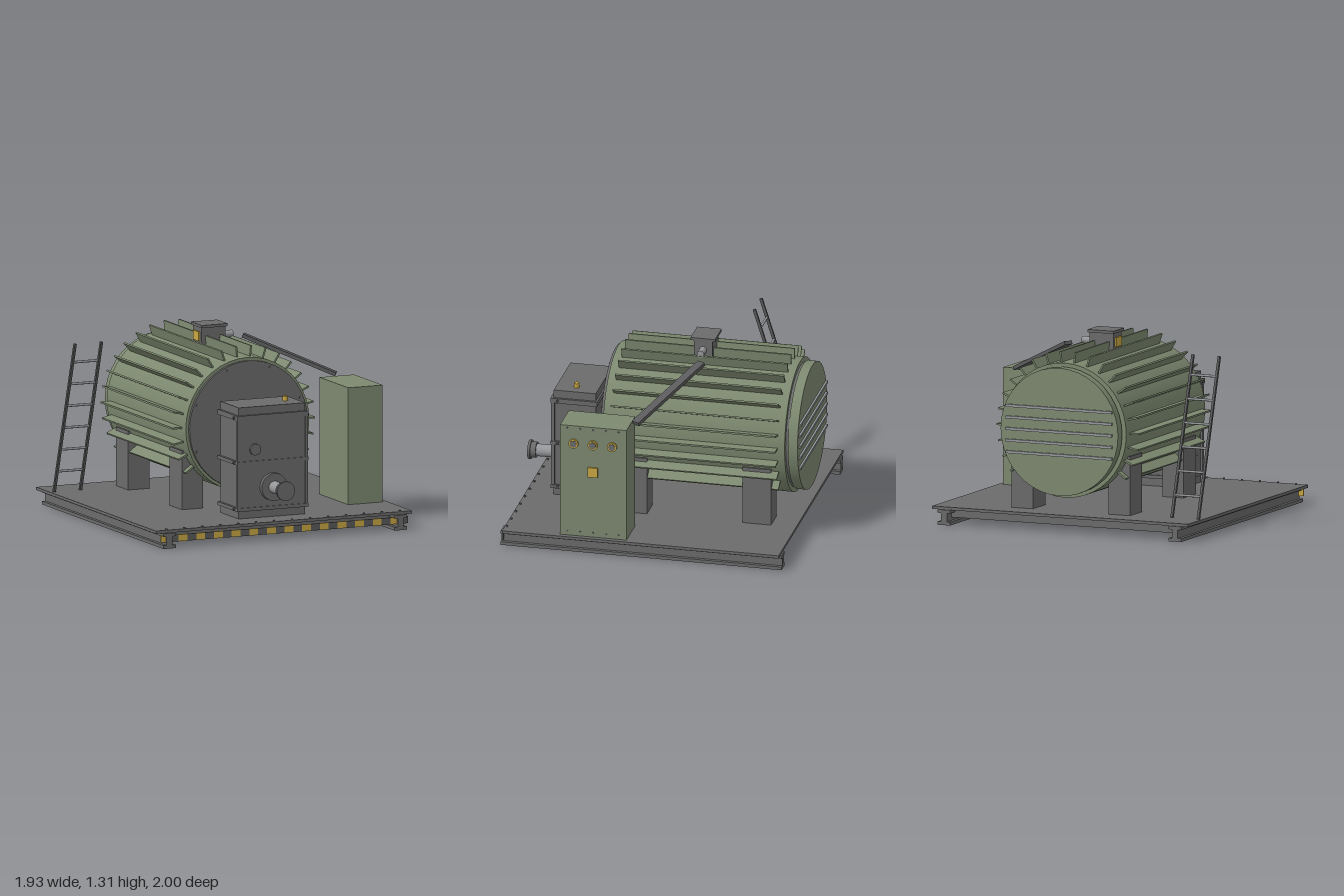
import * as THREE from 'three';

export function createModel() {
  const root = new THREE.Group();
  const paint = (name, color) => {
    const m = new THREE.MeshStandardMaterial({ color });
    m.name = name;
    return m;
  };
  const green = paint('olive green', 0x7d8970);
  const gray = paint('machine gray', 0x6b6b6b);
  const dark = paint('dark gray', 0x5a5a5c);
  const steel = paint('bare steel', 0x96989b);
  const yellow = paint('safety yellow', 0xc9a843);

  const add = (name, geo, mat, x, y, z, parent = root) => {
    const m = new THREE.Mesh(geo, mat);
    m.name = name;
    m.position.set(x, y, z);
    parent.add(m);
    return m;
  };
  // Box given by its limits on each axis
  const box = (name, mat, x0, x1, y0, y1, z0, z1) =>
    add(name, new THREE.BoxGeometry(x1 - x0, y1 - y0, z1 - z0), mat, (x0 + x1) / 2, (y0 + y1) / 2, (z0 + z1) / 2);
  // Cylinders along z and x
  const cylZ = (name, mat, r, z0, z1, x, y, n = 24) =>
    add(name, new THREE.CylinderGeometry(r, r, z1 - z0, n).rotateX(Math.PI / 2), mat, x, y, (z0 + z1) / 2);
  const cylX = (name, mat, r, x0, x1, y, z, n = 16) =>
    add(name, new THREE.CylinderGeometry(r, r, x1 - x0, n).rotateZ(Math.PI / 2), mat, (x0 + x1) / 2, y, z);
  // Bar of rectangular section between two points
  const bar = (name, mat, a, b, w, h) => {
    const m = add(name, new THREE.BoxGeometry(w, h, a.distanceTo(b)), mat, 0, 0, 0);
    m.position.copy(a).add(b).multiplyScalar(0.5);
    m.lookAt(b);
    return m;
  };

  // Skid: deck, I-beam runners and cross beams
  box('deck', gray, -0.965, 0.965, 0.11, 0.13, -0.975, 0.965);
  for (const s of [-1, 1]) {
    const x = s * 0.87;
    box('runnerBottomFlange', gray, x - 0.046, x + 0.046, 0.005, 0.028, -0.985, 0.985);
    box('runnerWeb', gray, x - 0.022, x + 0.022, 0.028, 0.088, -0.985, 0.985);
    box('runnerTopFlange', gray, x - 0.046, x + 0.046, 0.088, 0.11, -0.985, 0.985);
  }
  for (const z of [-0.87, -0.29, 0.29, 0.87])
    box('crossBeam', gray, -0.848, 0.848, 0.05, 0.11, z - 0.035, z + 0.035);

  // Hazard strip and deck bolts along the front edge
  const seg = 1.86 / 28;
  for (let i = 0; i < 28; i++) {
    const x = -0.93 + i * seg;
    box('hazardBlock', i % 2 ? dark : yellow, x, x + seg, 0.048, 0.095, 0.966, 0.975);
  }
  for (let i = 0; i < 14; i++)
    add('deckBolt', new THREE.CylinderGeometry(0.008, 0.008, 0.01, 6), gray, -0.88 + i * 1.76 / 13, 0.134, 0.95);

  // Drum with end covers
  const cy = 0.705;
  cylZ('drum', green, 0.465, -0.9, 0.375, 0, cy, 40);
  cylZ('frontCover', gray, 0.445, 0.37, 0.395, 0, cy, 40);
  cylZ('frontHub', gray, 0.16, 0.39, 0.41, 0, cy, 32);
  cylZ('rearGasket', gray, 0.432, -0.925, -0.9, 0, cy, 40);
  cylZ('rearCover', green, 0.442, -0.985, -0.918, 0, cy, 40);
  for (let i = 0; i < 5; i++) {
    const y = cy + (i - 2) * 0.08;
    box('rearLouver', steel, -0.4, 0.4, y - 0.009, y + 0.009, -0.999, -0.98);
  }
  for (let i = 0; i < 8; i++) {
    const a = (i + 0.5) * Math.PI / 4;
    cylZ('coverBolt', gray, 0.009, 0.39, 0.402, 0.42 * Math.cos(a), cy + 0.42 * Math.sin(a), 6);
  }

  // Radial cooling fins, open at the bottom
  for (let deg = -36; deg <= 216; deg += 12) {
    const a = deg * Math.PI / 180;
    const fin = add('coolingFin', new THREE.BoxGeometry(0.09, 0.012, 1.165), green,
      0.492 * Math.cos(a), cy + 0.492 * Math.sin(a), -0.267);
    fin.rotation.z = a;
  }

  // Support legs
  for (const s of [-1, 1])
    for (const z of [-0.7, 0.17])
      add('supportLeg', new THREE.BoxGeometry(0.16, 0.41, 0.2), gray, s * 0.365, 0.333, z);

  // Lifting eyes
  for (const z of [-0.675, 0.125])
    add('liftingEye', new THREE.TorusGeometry(0.018, 0.007, 6, 12), gray, 0, 1.19, z);

  // Junction box on top with cable stub and plate
  box('junctionBox', gray, -0.092, 0.09, 1.13, 1.3, -0.305, -0.175);
  box('junctionLid', gray, -0.1, 0.097, 1.296, 1.315, -0.325, -0.153);
  box('junctionPlate', yellow, -0.104, -0.09, 1.2, 1.265, -0.285, -0.195);
  cylX('cableStub', steel, 0.025, 0.08, 0.17, 1.228, -0.24);
  bar('cableDuct', dark, new THREE.Vector3(0.265, 1.205, -0.27), new THREE.Vector3(0.81, 0.948, 0.065), 0.062, 0.025);

  // Control cabinet
  box('controlCabinet', green, 0.67, 0.93, 0.13, 0.94, 0.1, 0.565);
  for (const z of [0.2, 0.335, 0.47]) {
    cylX('dialRing', yellow, 0.034, 0.925, 0.944, 0.81, z, 20);
    cylX('dialFace', gray, 0.024, 0.925, 0.948, 0.81, z, 20);
  }
  box('switchPlate', yellow, 0.925, 0.945, 0.575, 0.645, 0.3, 0.37);
  for (const y of [0.16, 0.92])
    for (let i = 0; i < 5; i++)
      cylX('cabinetBolt', gray, 0.007, 0.928, 0.936, y, 0.155 + i * 0.09, 6);

  // Front gearbox with collars, inspection knob and button
  box('gearbox', gray, -0.25, 0.25, 0.13, 0.9, 0.475, 0.77);
  box('gearboxDoor', gray, -0.243, 0.243, 0.195, 0.84, 0.765, 0.782);
  for (const [y, h] of [[0.828, 0.034], [0.515, 0.024], [0.194, 0.024]]) {
    box('gearboxCollar', gray, -0.268, 0.268, y - h / 2, y + h / 2, 0.462, 0.79);
    for (const s of [-1, 1])
      cylX('collarBolt', dark, 0.01, s * 0.272 - 0.006, s * 0.272 + 0.006, y, 0.74, 6);
  }
  for (const s of [-1, 1])
    box('gearboxCornerStrip', gray, s * 0.255 - 0.01, s * 0.255 + 0.01, 0.194, 0.828, 0.762, 0.785);
  cylZ('inspectionKnob', gray, 0.04, 0.775, 0.8, -0.135, 0.607, 20);
  add('topButton', new THREE.CylinderGeometry(0.019, 0.019, 0.035, 16), yellow, 0.165, 0.915, 0.63);

  // Output shaft
  cylZ('shaftFlange', gray, 0.096, 0.775, 0.815, 0, 0.34, 28);
  cylZ('shaft', steel, 0.043, 0.8, 0.96, 0, 0.34, 20);
  cylZ('shaftCoupling', gray, 0.055, 0.945, 0.987, 0, 0.34, 24);
  cylZ('shaftEnd', gray, 0.067, 0.983, 1, 0, 0.34, 24);

  // Leaning ladder
  for (const x of [-0.935, -0.737])
    bar('ladderRail', dark, new THREE.Vector3(x, 0.13, -0.745), new THREE.Vector3(x, 1.208, -0.405), 0.017, 0.02);
  for (let i = 0; i < 6; i++) {
    const y = 0.28 + i * 0.159;
    cylX('ladderRung', steel, 0.009, -0.935, -0.737, y, -0.745 + (y - 0.13) * 0.34 / 1.078, 8);
  }
  return root;
}
